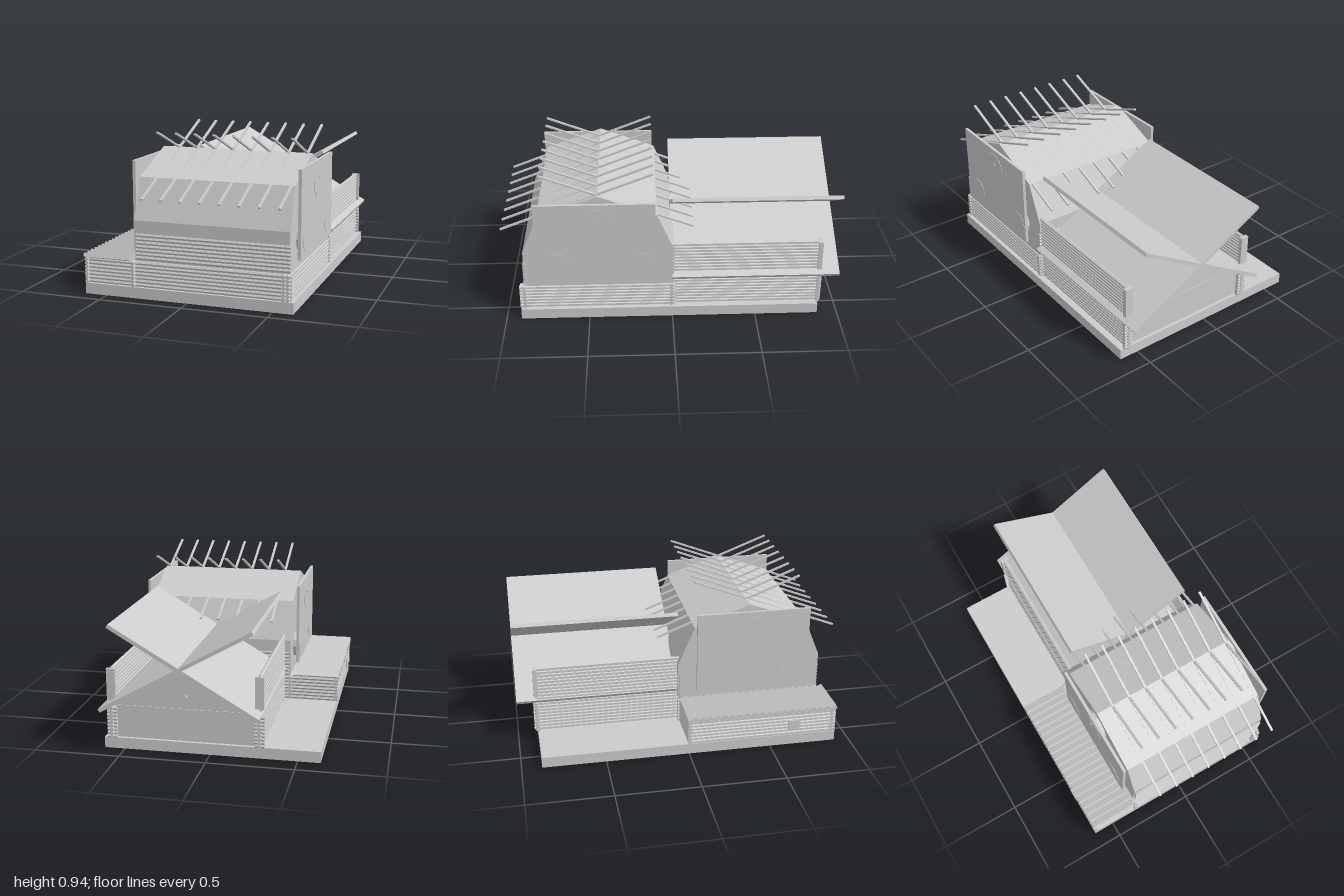
import * as THREE from 'three';

const mat = new THREE.MeshStandardMaterial({ color: 0xcccccc, flatShading: true });
const PITCH = 0.0215;

function add(parent, name, geo, x = 0, y = 0, z = 0) {
  const m = new THREE.Mesh(geo, mat);
  m.name = name;
  m.position.set(x, y, z);
  parent.add(m);
  return m;
}

// box given by its limits
function block(parent, name, [x0, x1], [y0, y1], [z0, z1]) {
  return add(parent, name, new THREE.BoxGeometry(x1 - x0, y1 - y0, z1 - z0),
    (x0 + x1) / 2, (y0 + y1) / 2, (z0 + z1) / 2);
}

function extrude(points, depth) {
  const shape = new THREE.Shape(points.map(p => new THREE.Vector2(...p)));
  return new THREE.ExtrudeGeometry(shape, { depth, bevelEnabled: false });
}

// stack of six-sided logs running from a to b along one axis
function logWall(parent, name, axis, at, a, b, y0, y1) {
  const wall = new THREE.Group();
  wall.name = name;
  parent.add(wall);
  const n = Math.round((y1 - y0) / PITCH), step = (y1 - y0) / n;
  const geo = new THREE.CylinderGeometry(0.0125, 0.0125, b - a, 6);
  if (axis === 'x') geo.rotateZ(Math.PI / 2);
  else geo.rotateX(Math.PI / 2);
  for (let i = 0; i < n; i++) {
    const y = y0 + step * (i + 0.5), mid = (a + b) / 2;
    if (axis === 'x') add(wall, 'log', geo, mid, y, at);
    else add(wall, 'log', geo, at, y, mid);
  }
}

// bar or slab between two points in a vertical plane
function slab(parent, name, [ax, ay], [bx, by], thick, width, axis, at) {
  const len = Math.hypot(bx - ax, by - ay), angle = Math.atan2(by - ay, bx - ax);
  const mx = (ax + bx) / 2, my = (ay + by) / 2;
  if (axis === 'x') {
    add(parent, name, new THREE.BoxGeometry(len, thick, width), mx, my, at).rotation.z = angle;
  } else {
    add(parent, name, new THREE.BoxGeometry(width, thick, len), at, my, mx).rotation.x = -angle;
  }
}

export function createModel() {
  const model = new THREE.Group();
  model.name = 'cabin';

  block(model, 'base', [-0.63, 0.62], [0, 0.065], [-0.88, 0.91]);

  // front hall: body with a gambrel roof, profile in z and y
  const hall = new THREE.Group();
  hall.name = 'frontHall';
  model.add(hall);
  const profile = [[0, 0.065], [0.87, 0.065], [0.87, 0.375], [0.88, 0.375], [0.88, 0.45], [0.785, 0.685],
    [0.43, 0.815], [0.09, 0.685], [-0.012, 0.45], [-0.012, 0.375], [0, 0.375]];
  const body = extrude(profile, 0.92).rotateY(-Math.PI / 2);
  add(hall, 'hallBodyAndRoof', body, 0.59);
  logWall(hall, 'frontLowerLogs', 'x', 0.885, -0.635, 0.603, 0.065, 0.215);
  logWall(hall, 'frontUpperLogs', 'x', 0.875, -0.32, 0.595, 0.222, 0.376);
  logWall(hall, 'backUpperLogs', 'x', 0, -0.32, 0.595, 0.222, 0.376);
  for (const x of [-0.33, 0.587]) logWall(hall, 'hallSideLogs', 'z', x, -0.015, 0.915, 0.065, 0.215);
  logWall(hall, 'backLowerLogs', 'x', 0.005, -0.635, 0.603, 0.065, 0.215);
  logWall(hall, 'logEnds', 'z', 0.563, 0.87, 0.912, 0.065, 0.215);

  // crossed rods over the ridge
  for (let i = 0; i < 8; i++) {
    const x = -0.226 + i * 0.113;
    slab(hall, 'roofRod', [-0.125, 0.597], [0.765, 0.94], 0.01, 0.014, 'z', x);
    slab(hall, 'roofRod', [1.0, 0.597], [0.11, 0.94], 0.01, 0.014, 'z', x);
  }

  // side panels held by round plugs
  for (const s of [-1, 1]) {
    const side = new THREE.Group();
    side.name = s > 0 ? 'leftSidePanel' : 'rightSidePanel';
    side.position.x = 0.13;
    hall.add(side);
    block(side, 'panel', [s * 0.49 - 0.009, s * 0.49 + 0.009], [0.275, 0.78], [0.1, 0.8]);
    for (const [z, y, r] of [[0.44, 0.66, 0.095], [0.68, 0.38, 0.08], [0.19, 0.38, 0.08]]) {
      add(side, 'plug', new THREE.CylinderGeometry(r, r, 0.045, 12).rotateZ(Math.PI / 2), s * 0.479, y, z);
    }
    add(side, 'plugPin', new THREE.CylinderGeometry(0.008, 0.008, 0.02, 8).rotateZ(Math.PI / 2), s * 0.497, 0.68, 0.43);
  }

  // lean-to with tilted roof boards
  const lean = new THREE.Group();
  lean.name = 'leanTo';
  model.add(lean);
  block(lean, 'leanToCore', [-0.622, -0.33], [0.065, 0.205], [0.005, 0.885]);
  logWall(lean, 'leanToSideLogs', 'z', -0.622, -0.005, 0.91, 0.065, 0.215);
  block(lean, 'window', [-0.64, -0.62], [0.1, 0.165], [0.61, 0.68]);
  const board = new THREE.BoxGeometry(0.29, 0.024, 0.05);
  for (let i = 0; i < 20; i++) {
    add(lean, 'roofBoard', board, -0.493, 0.223, 0.025 + i * 0.0455).rotation.x = -0.42;
  }

  // rear wing: gabled core, log sides standing above the eaves
  const wing = new THREE.Group();
  wing.name = 'rearWing';
  model.add(wing);
  const gable = [[-0.28, 0.065], [0.56, 0.065], [0.56, 0.275], [0.14, 0.515], [-0.28, 0.265]];
  add(wing, 'wingCore', extrude(gable, 0.86), 0, 0, -0.86);
  block(wing, 'wallSeam', [-0.275, 0.555], [0.25, 0.258], [-0.864, -0.85]);
  add(wing, 'knob', new THREE.CylinderGeometry(0.01, 0.01, 0.02, 10).rotateX(Math.PI / 2), 0.14, 0.33, -0.865);
  for (const [x, s] of [[-0.285, -1], [0.57, 1]]) {
    logWall(wing, 'wingLowerLogs', 'z', x, -0.9, 0, 0.065, 0.255);
    logWall(wing, 'wingUpperLogs', 'z', x, -0.875, 0, 0.27, 0.485);
    logWall(wing, 'cornerLogEnds', 'x', -0.88, x - 0.028, x + 0.028, 0.065, 0.255);
    block(wing, 'cornerPost', [x - 0.025, x + 0.025], [0.295, 0.48], [-0.893, -0.868]);
  }

  // two roof slabs crossing at the ridge
  slab(wing, 'roofSlab', [-0.297, 0.263], [0.545, 0.757], 0.022, 1.0, 'x', -0.5);
  slab(wing, 'roofSlab', [0.61, 0.263], [-0.265, 0.757], 0.022, 1.0, 'x', -0.5);

  return model;
}
